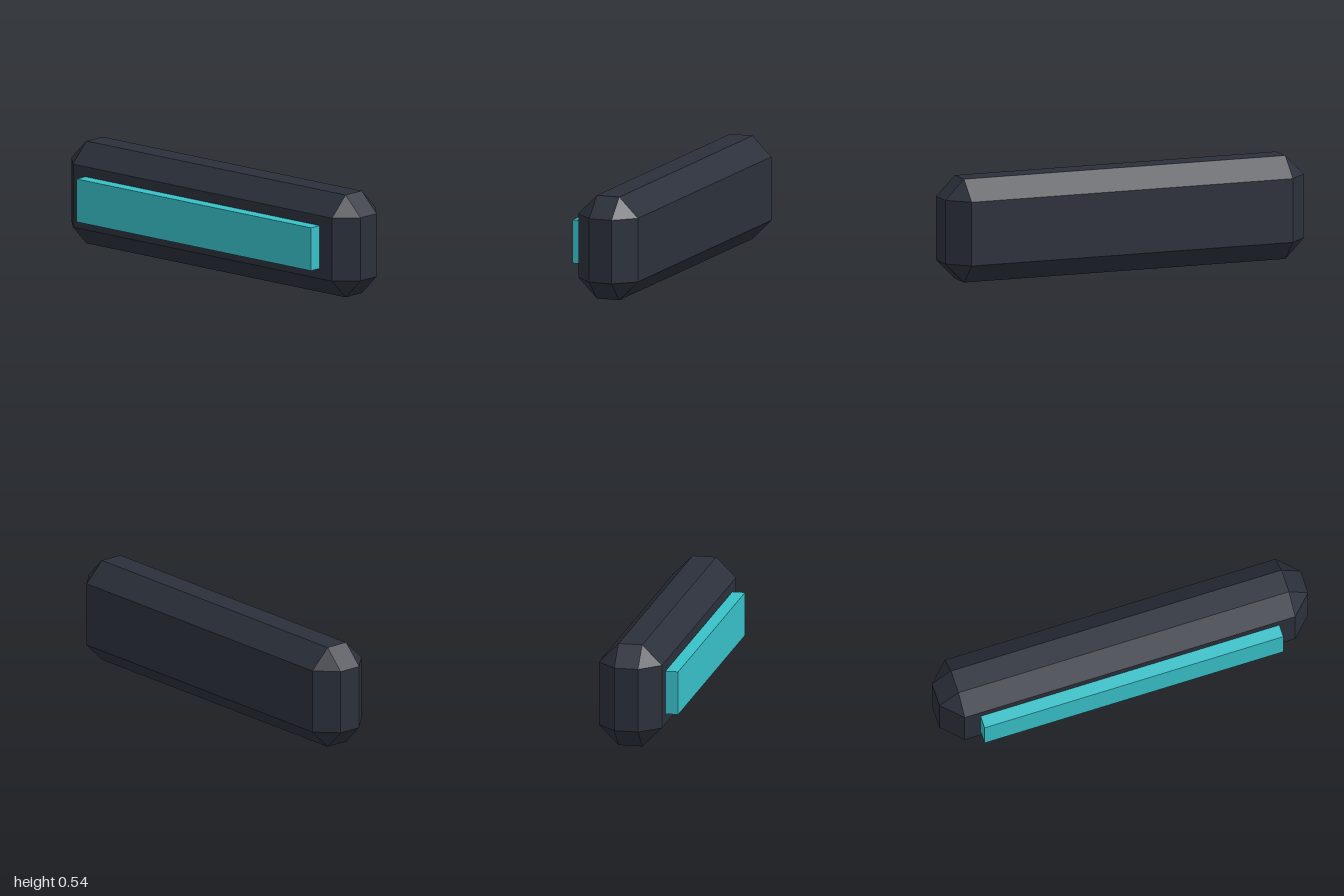
import * as THREE from 'three';
import { ConvexGeometry } from 'three/addons/geometries/ConvexGeometry.js';

// Box with every edge and corner cut flat by the same amount
function chamferedBox(w, h, d, c) {
  const half = [w / 2, h / 2, d / 2];
  const points = [];
  for (const sx of [-1, 1]) for (const sy of [-1, 1]) for (const sz of [-1, 1]) {
    for (let axis = 0; axis < 3; axis++) {
      const p = half.map((v, i) => (i === axis ? v : v - c));
      points.push(new THREE.Vector3(p[0] * sx, p[1] * sy, p[2] * sz));
    }
  }
  return new ConvexGeometry(points);
}

export function createModel() {
  const group = new THREE.Group();

  // Dark bevelled housing
  const housing = new THREE.Mesh(
    chamferedBox(2, 0.542, 0.333, 0.104),
    new THREE.MeshStandardMaterial({ color: 0x2b303b, flatShading: true })
  );
  housing.name = 'housing';
  housing.position.set(0, 0.271, -0.0335);
  group.add(housing);

  // Bright panel standing proud of the front face
  const panel = new THREE.Mesh(
    new THREE.BoxGeometry(1.62, 0.228, 0.134),
    new THREE.MeshStandardMaterial({ color: 0x38c0c8, flatShading: true })
  );
  panel.name = 'frontPanel';
  panel.position.set(0, 0.271, 0.133);
  group.add(panel);

  return group;
}
